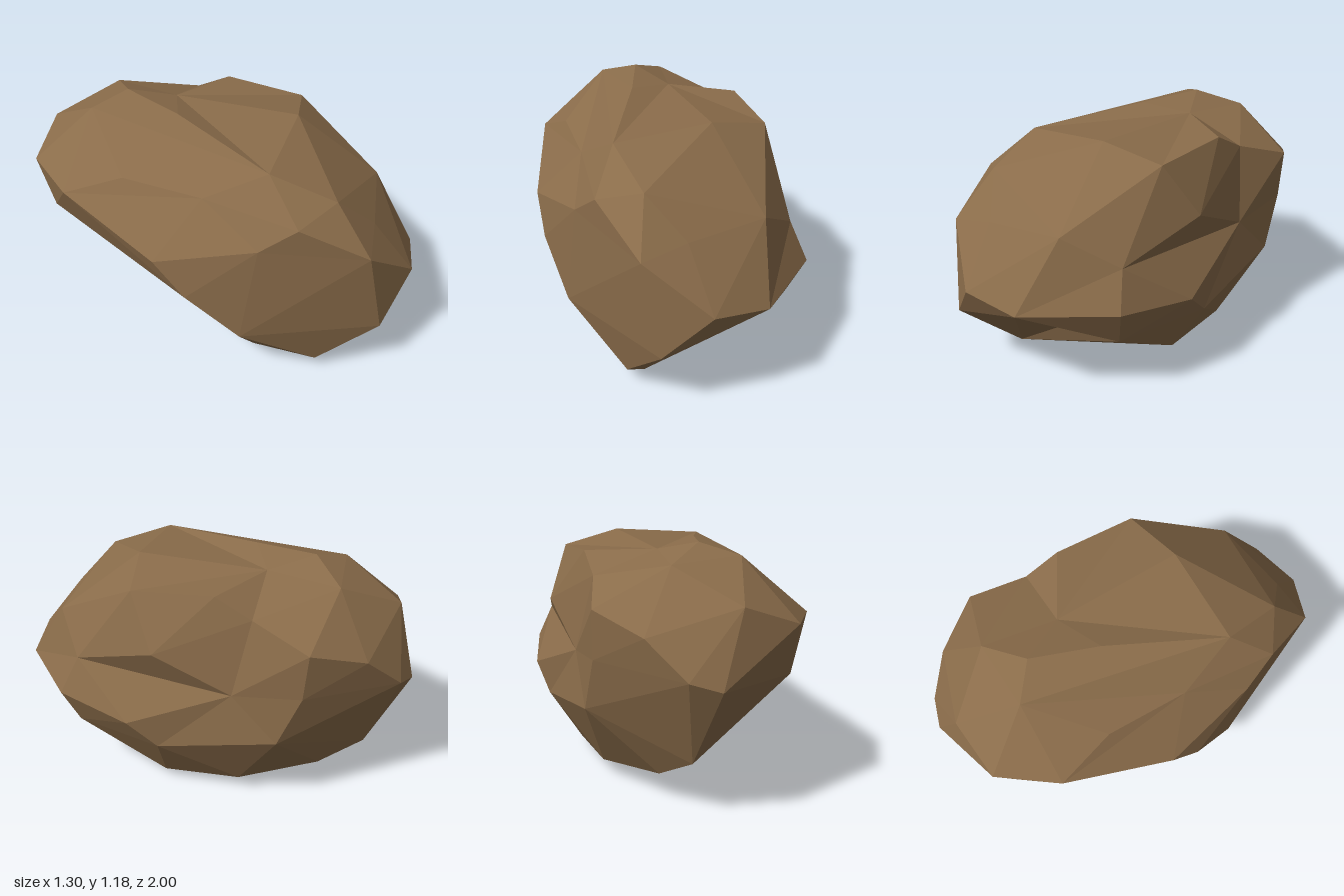
import * as THREE from 'three';
import { ConvexGeometry } from 'three/addons/geometries/ConvexGeometry.js';

const CENTRE = new THREE.Vector3(0, 0.6, 0);
const toPoint = ([x, y, z]) => new THREE.Vector3(x, y, z);

// Outer corners of the boulder, from front to back
const CORNERS = [
  // front end
  [0.16, 0.55, 1], [-0.06, 0.33, 0.97], [-0.14, 0.77, 0.91], [0.41, 0.51, 0.88],
  [0.06, 0.81, 0.82], [-0.21, 0.075, 0.72], [-0.12, 0.99, 0.71], [0.41, 0.83, 0.65],
  [-0.33, 0.93, 0.64], [-0.13, 0, 0.63],
  // front half
  [0.65, 0.51, 0.49], [0.57, 0.32, 0.45], [-0.49, 0.3, 0.45], [-0.25, 1.1, 0.43],
  [-0.28, 0.04, 0.4], [0.2, 1.14, 0.3], [-0.61, 0.52, 0.22], [0.47, 1.08, 0.16],
  [0.64, 0.465, 0.1], [-0.65, 0.69, 0.07], [0.41, 0.055, 0.04],
  // back half
  [-0.32, 0.2, 0], [0.57, 0.335, -0.03], [-0.16, 1.16, -0.15], [0.37, 1.11, -0.23],
  [0.3, 0.08, -0.33], [-0.12, 0.1, -0.46], [-0.65, 0.85, -0.47],
  [-0.14, 1.18, -0.48], [-0.32, 1.13, -0.56], [0.38, 0.44, -0.57],
  // back end
  [-0.42, 0.5, -0.61], [0.05, 0.145, -0.65], [0, 1.11, -0.67], [0.34, 0.7, -0.67],
  [-0.53, 0.62, -0.68], [0.34, 0.93, -0.69], [-0.54, 0.87, -0.77], [-0.08, 0.27, -0.83],
  [-0.28, 0.97, -0.87], [0.13, 0.85, -0.88], [-0.04, 0.69, -0.99], [-0.18, 0.65, -1],
].map(toPoint);

// Corners sunk into the surface: x, y, z and how deep they were pressed in
const DENTS = [
  [0.26, 0.28, 0.57, 0.07],
  [0.57, 0.69, 0.43, 0.13], [0.55, 0.83, 0, 0.04], [0.42, 0.655, -0.35, 0.16],
  [-0.43, 0.81, 0.5, 0.04], [-0.41, 0.955, 0.18, 0.08], [-0.51, 0.965, -0.21, 0.04],
  [0.03, 1.125, -0.31, 0.1], [0.33, 1.02, -0.4, 0.06],
].map((d) => {
  const sunk = toPoint(d);
  const raised = sunk.clone().sub(CENTRE).normalize().multiplyScalar(d[3]).add(sunk);
  return { sunk, raised };
});

// Wrap the boulder with its dents raised, then press each one back in
function buildStone() {
  const wrapped = new ConvexGeometry([...CORNERS, ...DENTS.map((d) => d.raised)]);
  const position = wrapped.getAttribute('position');
  const corner = new THREE.Vector3();
  for (let i = 0; i < position.count; i++) {
    corner.fromBufferAttribute(position, i);
    const dent = DENTS.find((d) => d.raised.distanceTo(corner) < 1e-4);
    if (dent) position.setXYZ(i, ...dent.sunk.toArray());
  }
  wrapped.computeVertexNormals();
  return wrapped;
}

export function createModel() {
  const brownStone = new THREE.MeshStandardMaterial({ color: 0x8a6c4a });
  brownStone.name = 'brown stone';
  const boulder = new THREE.Mesh(buildStone(), brownStone);
  boulder.name = 'boulder';

  const group = new THREE.Group();
  group.name = 'rock';
  group.add(boulder);
  return group;
}
